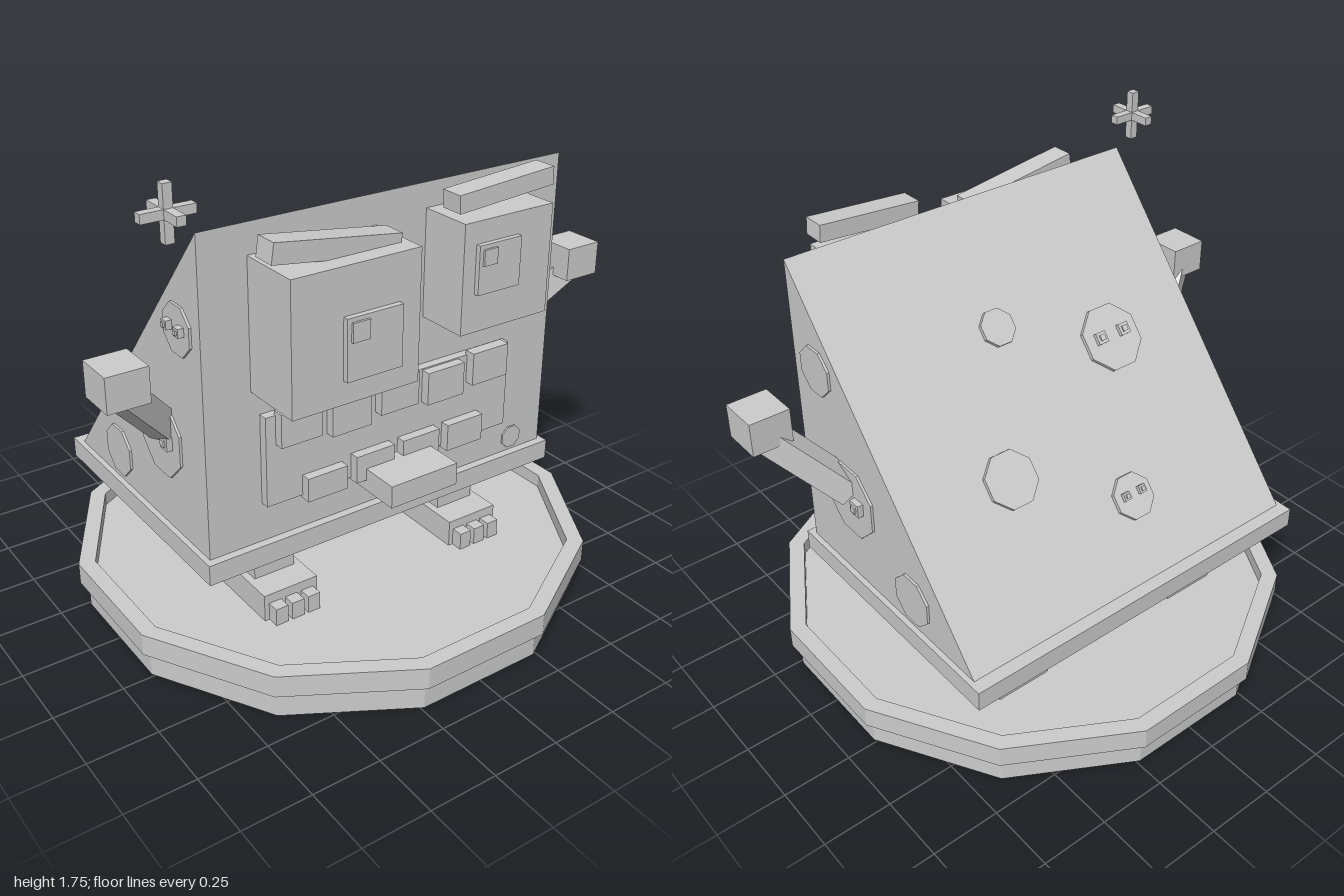
import * as THREE from 'three';

export function createModel() {
  const model = new THREE.Group();
  const stone = new THREE.MeshStandardMaterial({ color: 0xcccccc });
  stone.name = 'plain grey';

  const add = (name, geometry, parent = model) => {
    const mesh = new THREE.Mesh(geometry, stone);
    mesh.name = name;
    parent.add(mesh);
    return mesh;
  };
  // Box given by its limits on each axis
  const box = (name, x0, x1, y0, y1, z0, z1, parent) => {
    const mesh = add(name, new THREE.BoxGeometry(x1 - x0, y1 - y0, z1 - z0), parent);
    mesh.position.set((x0 + x1) / 2, (y0 + y1) / 2, (z0 + z1) / 2);
    return mesh;
  };
  const faceted = (geometry) => {
    const flat = geometry.toNonIndexed();
    flat.computeVertexNormals();
    return flat;
  };

  // Twelve-sided plate with a raised rim
  const rim = [[0, 0], [0.92, 0], [0.92, 0.1], [0.95, 0.1], [0.95, 0.18], [0.89, 0.18], [0.89, 0.13], [0, 0.13]];
  add('plate', faceted(new THREE.LatheGeometry(
    rim.map(([x, y]) => new THREE.Vector2(x, y)), 12, Math.PI / 12)));

  // Wedge body: triangular side profile extruded across x
  const front = 0.355, back = -0.595, bottom = 0.455, top = 1.57;
  const profile = new THREE.Shape([
    new THREE.Vector2(-front, bottom), new THREE.Vector2(-back, bottom), new THREE.Vector2(-front, top),
  ]);
  const wedge = new THREE.ExtrudeGeometry(profile, { depth: 1.42, bevelEnabled: false });
  wedge.translate(0, 0, -0.71).rotateY(Math.PI / 2);
  add('body', wedge);
  box('bodyBase', -0.73, 0.73, 0.38, 0.455, -0.645, 0.385);

  // Legs, feet and toes
  for (const s of [-1, 1]) {
    const x = s * 0.403;
    box('frontLeg', x - 0.08, x + 0.08, 0.22, 0.39, 0.09, 0.25);
    box('frontFoot', x - 0.107, x + 0.107, 0.13, 0.23, 0.055, 0.355);
    for (const t of [-0.065, 0, 0.065])
      box('toe', x + t - 0.024, x + t + 0.024, 0.13, 0.195, 0.35, 0.4);
    box('backLeg', x - 0.08, x + 0.08, 0.22, 0.39, -0.44, -0.28);
    box('backFoot', x - 0.107, x + 0.107, 0.13, 0.23, -0.465, -0.23);
  }

  // Eyes with pupils and glints
  box('rightEye', -0.54, -0.067, 1.013, 1.465, 0.35, 0.59);
  box('rightPupil', -0.355, -0.147, 1.095, 1.305, 0.58, 0.61);
  box('rightGlint', -0.34, -0.275, 1.225, 1.29, 0.6, 0.618);
  box('leftEye', 0.135, 0.505, 1.1, 1.482, 0.35, 0.55);
  box('leftPupil', 0.185, 0.36, 1.235, 1.405, 0.54, 0.568);
  box('leftGlint', 0.2, 0.255, 1.335, 1.39, 0.56, 0.576);

  // Tilted eyebrows
  const brow = (name, x, y, length, height, tilt) => {
    const mesh = add(name, new THREE.BoxGeometry(length, height, 0.085));
    mesh.position.set(x, y, 0.483);
    mesh.rotation.z = tilt;
  };
  brow('rightBrow', -0.327, 1.493, 0.465, 0.068, -0.14);
  brow('leftBrow', 0.328, 1.552, 0.393, 0.062, 0.07);

  // Mouth, uneven teeth and tongue
  box('mouth', -0.51, 0.5, 0.6, 0.925, 0.35, 0.388);
  for (let i = 0; i < 5; i++) {
    const x = -0.395 + i * 0.196, y = i % 2 ? 0.8 : 0.82;
    box('upperTooth', x - 0.078, x + 0.078, y, y + 0.12, 0.38, 0.423);
  }
  for (let i = 0; i < 4; i++) {
    const x = -0.295 + i * 0.194, y = i ? 0.593 : 0.588;
    box('lowerTooth', x - 0.078, x + 0.078, y, y + (i ? 0.1 : 0.087), 0.38, 0.423);
  }
  box('tongue', -0.14, 0.135, 0.555, 0.637, 0.375, 0.565);

  // Raised arms with block hands
  for (const s of [-1, 1]) {
    const from = new THREE.Vector3(s * 0.7, 0.815, 0.085);
    const to = new THREE.Vector3(s * 0.93, 1.075, 0.222);
    const arm = add('arm', new THREE.BoxGeometry(0.09, 0.09, from.distanceTo(to)));
    arm.position.copy(from).lerp(to, 0.5);
    arm.lookAt(to);
    const x = s * 0.927;
    box('hand', x - 0.073, x + 0.073, 1.045, 1.168, 0.153, 0.302);
  }

  // Octagonal spots, some carrying a pair of small studs
  const spot = (position, normal, radius, thickness, studs) => {
    const group = new THREE.Group();
    group.name = 'spot';
    const disc = faceted(new THREE.CylinderGeometry(radius, radius, thickness * 2, 8));
    disc.rotateY(Math.PI / 8).rotateX(Math.PI / 2);
    add('spotDisc', disc, group);
    if (studs) for (const s of [-1, 1]) {
      const x = s * radius * 0.42, h = radius * 0.17;
      box('stud', x - h, x + h, 0.01 - h, 0.01 + h, 0, 0.03, group);
      box('studTip', x - h / 2, x + h / 2, 0.01 - h / 2, 0.01 + h / 2, 0.02, 0.036, group);
    }
    group.position.set(...position);
    group.lookAt(new THREE.Vector3(...position).add(normal));
    model.add(group);
  };
  for (const s of [-1, 1]) {
    const out = new THREE.Vector3(s, 0, 0);
    spot([s * 0.71, 1.22, 0.22], out, 0.09, 0.009, s < 0);
    spot([s * 0.71, 0.782, 0.07], out, 0.142, 0.009, true);
    spot([s * 0.71, 0.572, -0.27], out, 0.097, 0.009, false);
  }
  spot([0.57, 0.51, front], new THREE.Vector3(0, 0, 1), 0.045, 0.006, false);
  const slope = (top - bottom) / (front - back);
  const slopeNormal = new THREE.Vector3(0, 1, -slope).normalize();
  for (const [x, z, r, studs] of [
    [-0.13, -0.41, 0.085, true], [-0.325, -0.06, 0.125, true],
    [0.29, -0.255, 0.103, false], [0.095, 0.06, 0.068, false],
  ]) spot([x, top - (front - z) * slope, z], slopeNormal, r, 0.015, studs);

  // Floating six-pointed sparkle
  const sparkle = new THREE.Group();
  sparkle.name = 'sparkle';
  for (const size of [[0.178, 0.03, 0.03], [0.03, 0.178, 0.03], [0.03, 0.03, 0.178]])
    add('sparkleBar', new THREE.BoxGeometry(...size), sparkle);
  sparkle.position.set(-0.815, 1.662, 0.39);
  model.add(sparkle);

  return model;
}
